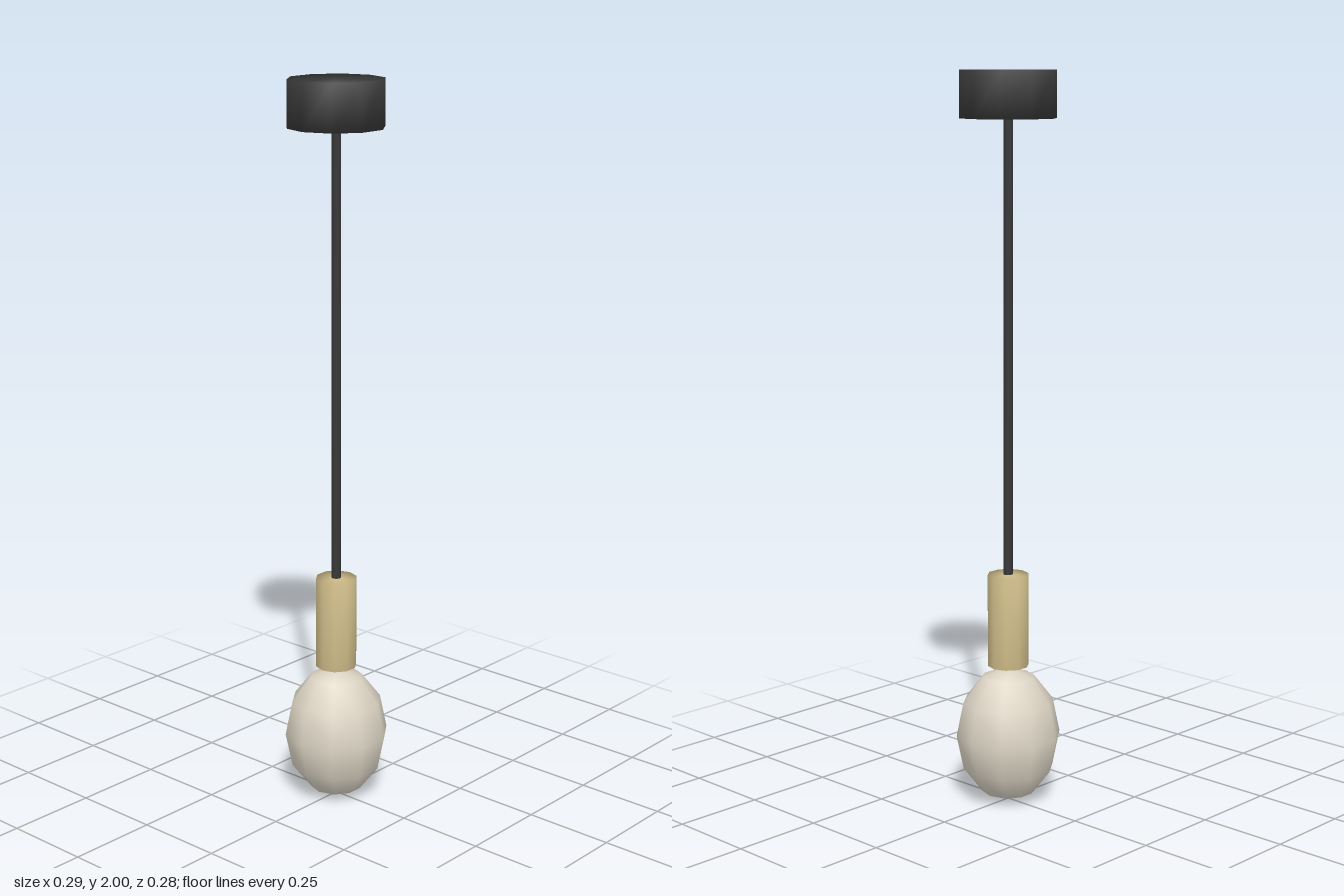
import * as THREE from 'three';
import { mergeVertices } from 'three/addons/utils/BufferGeometryUtils.js';

const SIDES = 10;

function material(name, color) {
  const m = new THREE.MeshStandardMaterial({ color });
  m.name = name;
  return m;
}

// Weld the corners so shading runs softly over sides and caps
function soften(geometry) {
  geometry.deleteAttribute('uv');
  geometry.deleteAttribute('normal');
  const welded = mergeVertices(geometry, 1e-4);
  welded.computeVertexNormals();
  return welded;
}

// Ten-sided capped cylinder between two heights, with corners on the x axis
function tube(name, radius, bottom, top, mat) {
  const geometry = new THREE.CylinderGeometry(radius, radius, top - bottom, SIDES, 1, false, Math.PI / 2);
  const mesh = new THREE.Mesh(soften(geometry), mat);
  mesh.name = name;
  mesh.position.y = (bottom + top) / 2;
  return mesh;
}

export function createModel() {
  const black = material('black', 0x383838);
  const brass = material('brass', 0xd3c08c);
  const glass = material('warmWhite', 0xded6c6);

  const lamp = new THREE.Group();
  lamp.name = 'pendantLamp';

  // Ceiling mount, hanging cord and bulb socket
  lamp.add(
    tube('ceilingCanopy', 0.13, 1.875, 2, black),
    tube('cord', 0.013, 0.64, 1.88, black),
    tube('socket', 0.057, 0.387, 0.645, brass),
  );

  // Egg-shaped bulb just below the socket
  const bulbGeometry = new THREE.SphereGeometry(1, SIDES, 6);
  bulbGeometry.scale(0.145, 0.19, 0.145);
  const bulb = new THREE.Mesh(soften(bulbGeometry), glass);
  bulb.name = 'bulb';
  bulb.position.y = 0.19;
  lamp.add(bulb);

  return lamp;
}
